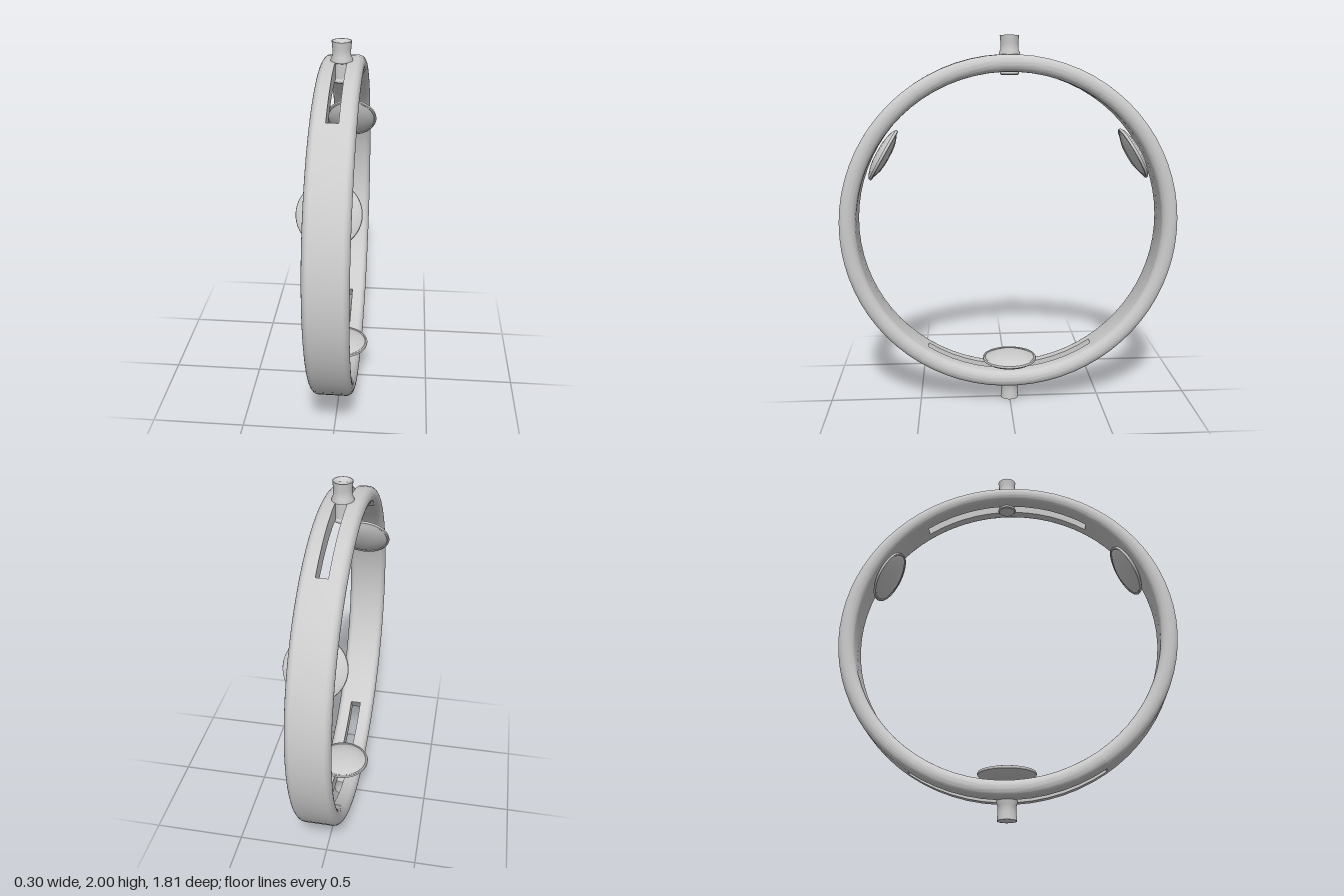
import * as THREE from 'three';
import { toCreasedNormals } from 'three/addons/utils/BufferGeometryUtils.js';

const R_OUT = 0.904, R_IN = 0.816, HALF_W = 0.108, SLOT = 0.029;
const SLOT_ANGLE = Math.asin(0.5 / R_OUT);
const CENTER_Y = 1;

const material = new THREE.MeshStandardMaterial({ color: 0xcccccc });

function addMesh(parent, name, geometry) {
  const mesh = new THREE.Mesh(geometry, material);
  mesh.name = name;
  parent.add(mesh);
  return mesh;
}

// Band cross-section (x across, y = radius); inner edges can be cut flat for the slot
function bandSection(x0, x1) {
  const rx = 0.036, ry = (R_OUT - R_IN) / 2, mid = (R_OUT + R_IN) / 2;
  const s = new THREE.Shape();
  if (x0 > -HALF_W) {
    s.moveTo(x0, R_OUT);
    s.lineTo(x0, R_IN);
  } else {
    s.moveTo(x0 + rx, R_OUT);
    s.absellipse(x0 + rx, mid, rx, ry, Math.PI / 2, Math.PI * 1.5, false);
  }
  if (x1 < HALF_W) {
    s.lineTo(x1, R_IN);
    s.lineTo(x1, R_OUT);
  } else {
    s.lineTo(x1 - rx, R_IN);
    s.absellipse(x1 - rx, mid, rx, ry, -Math.PI / 2, Math.PI / 2, false);
  }
  s.closePath();
  return s;
}

// Extrude a section, then bend it round the x axis from angle a0 to a1 (0 = up)
function bentBand(section, a0, a1) {
  const steps = Math.round((a1 - a0) / (Math.PI / 36));
  const geo = new THREE.ExtrudeGeometry(section, { depth: 1, steps, bevelEnabled: false, curveSegments: 10 });
  const p = geo.attributes.position;
  for (let i = 0; i < p.count; i++) {
    const a = a0 + (a1 - a0) * p.getZ(i), r = p.getY(i);
    p.setXYZ(i, p.getX(i), r * Math.cos(a), r * Math.sin(a));
  }
  return toCreasedNormals(geo, 0.6);
}

// Lathe from [radius, height] pairs, listed bottom to top
function lathe(points, segments) {
  const geo = new THREE.LatheGeometry(points.map(([r, y]) => new THREE.Vector2(r, y)), segments);
  return toCreasedNormals(geo, 0.5);
}

export function createModel() {
  const model = new THREE.Group();
  model.name = 'slottedRing';

  // Ring: solid on both sides, split by a slot at top and bottom
  const ring = new THREE.Group();
  ring.name = 'ring';
  ring.position.y = CENTER_Y;
  model.add(ring);
  for (const [turn, slotName, sideName] of [[0, 'top', 'front'], [Math.PI, 'bottom', 'back']]) {
    addMesh(ring, sideName + 'Band',
      bentBand(bandSection(-HALF_W, HALF_W), turn + SLOT_ANGLE, turn + Math.PI - SLOT_ANGLE));
    addMesh(ring, slotName + 'SlotLeftRail',
      bentBand(bandSection(SLOT, HALF_W), turn - SLOT_ANGLE, turn + SLOT_ANGLE));
    addMesh(ring, slotName + 'SlotRightRail',
      bentBand(bandSection(-HALF_W, -SLOT), turn - SLOT_ANGLE, turn + SLOT_ANGLE));
  }

  // Three lens-shaped pads facing the centre
  const padGeometry = lathe([
    [0, -0.035], [0.05, -0.034], [0.09, -0.028], [0.13, -0.016], [0.148, -0.004], [0.15, 0.003],
    [0.148, 0.009], [0.14, 0.011], [0.136, 0.008], [0.115, 0.018], [0.08, 0.029], [0.04, 0.034], [0, 0.035],
  ], 48);
  ['bottomPad', 'frontPad', 'backPad'].forEach((name, i) => {
    const holder = new THREE.Group();
    holder.name = name + 'Mount';
    holder.position.y = CENTER_Y;
    holder.rotation.x = -i * Math.PI * 2 / 3;
    addMesh(holder, name, padGeometry).position.y = -0.77;
    model.add(holder);
  });

  // Top post passes through the slot and ends in a small inner foot
  addMesh(model, 'topPost', lathe([
    [0, 1.798], [0.044, 1.798], [0.049, 1.803], [0.049, 1.812], [0.044, 1.82], [0.044, 1.895],
    [0.055, 1.9], [0.055, 1.91], [0.046, 1.93], [0.046, 1.96], [0.05, 2], [0.046, 2], [0.025, 1.985], [0, 1.985],
  ], 32));

  // Bottom post stops at the outer face of the ring
  addMesh(model, 'bottomPost', lathe([
    [0, 0.015], [0.025, 0.015], [0.046, 0], [0.05, 0], [0.046, 0.04], [0.046, 0.07],
    [0.054, 0.09], [0.054, 0.1], [0, 0.1],
  ], 32));

  return model;
}
